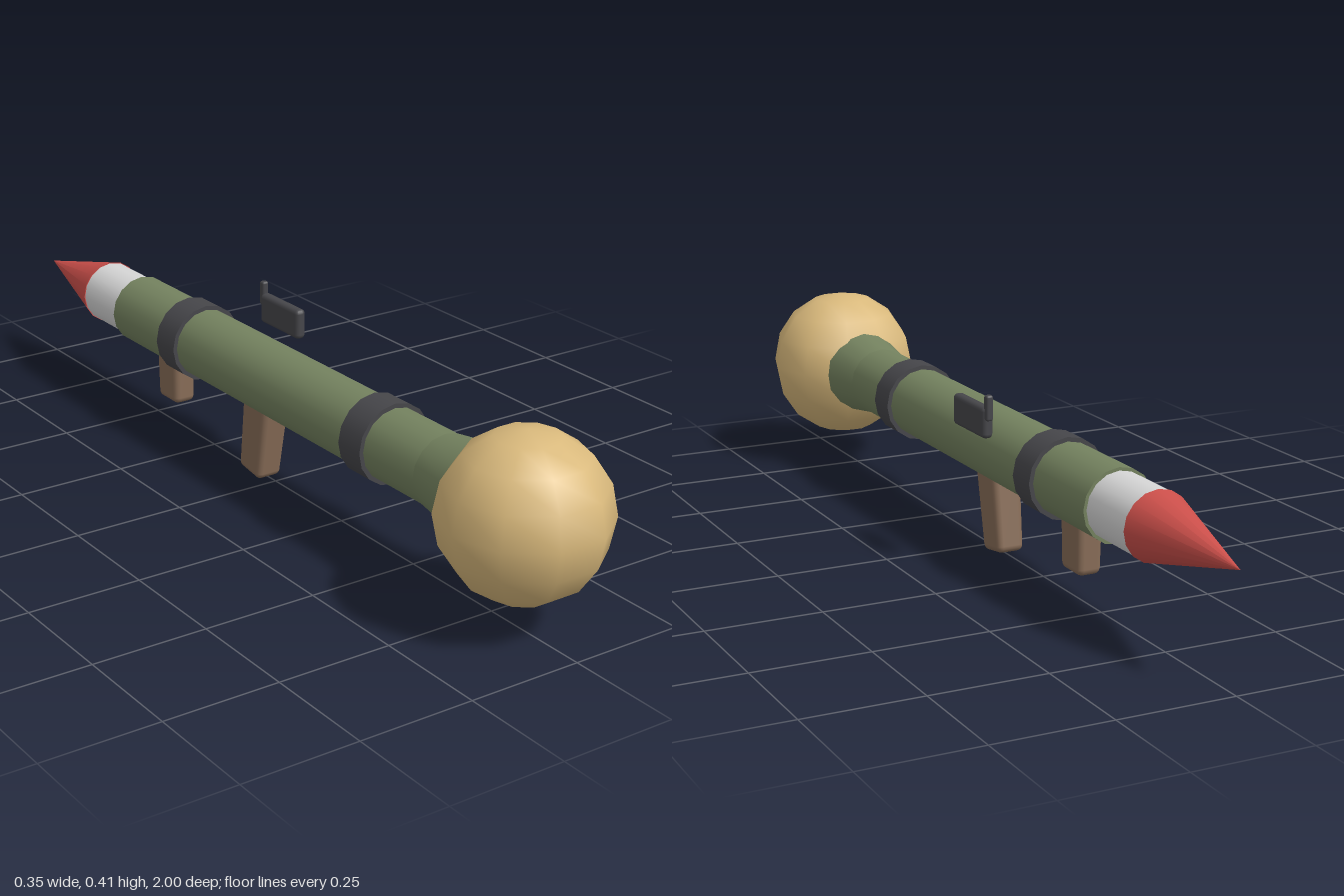
import * as THREE from 'three';
import { RoundedBoxGeometry } from 'three/addons/geometries/RoundedBoxGeometry.js';

const AXIS_Y = 0.239;
const mat = (name, color) => Object.assign(new THREE.MeshStandardMaterial({ color }), { name });

export function createModel() {
  const group = new THREE.Group();
  const tan = mat('tan', 0xd9b97c);
  const green = mat('olive green', 0x74825f);
  const dark = mat('dark grey', 0x46464a);
  const white = mat('off white', 0xd6d6d6);
  const red = mat('red', 0xcb4f4a);
  const brown = mat('brown', 0x876c57);

  const add = (name, geometry, material, x, y, z) => {
    const mesh = new THREE.Mesh(geometry, material);
    mesh.name = name;
    mesh.position.set(x, y, z);
    group.add(mesh);
    return mesh;
  };

  // A round section along z, from zBack to zFront
  const section = (name, material, rFront, rBack, zFront, zBack) => {
    const g = new THREE.CylinderGeometry(rFront, rBack, zFront - zBack, 16);
    g.rotateX(Math.PI / 2);
    return add(name, g, material, 0, AXIS_Y, (zFront + zBack) / 2);
  };

  // A softened block that narrows towards the bottom
  const taperedBlock = (w, h, d, bevel, taper) => {
    const g = new RoundedBoxGeometry(w, h, d, 2, bevel);
    const p = g.attributes.position;
    for (let i = 0; i < p.count; i++) {
      const s = 1 - taper * (0.5 - p.getY(i) / h);
      p.setX(i, p.getX(i) * s);
      p.setZ(i, p.getZ(i) * s);
    }
    return g;
  };

  // Ball at the front
  add('ball', new THREE.SphereGeometry(0.175, 10, 8), tan, 0, 0.238, 0.834);

  // Tube with flared muzzle and bands
  section('tube', green, 0.079, 0.079, 0.59, -0.563);
  section('flaredMuzzle', green, 0.097, 0.079, 0.71, 0.59);
  for (const z of [0.393, -0.316]) section('band', dark, 0.0885, 0.0885, z + 0.036, z - 0.036);

  // Tail: collar and pointed cone
  section('collar', white, 0.072, 0.072, -0.55, -0.711);
  section('cone', red, 0.074, 0, -0.711, -1);

  // Slanted main grip and short rear grip
  const grip = add('mainGrip', taperedBlock(0.07, 0.21, 0.092, 0.014, 0.13), brown, 0, 0.107, -0.048);
  grip.rotation.x = 0.15;
  add('rearGrip', taperedBlock(0.058, 0.14, 0.086, 0.014, 0.08), brown, 0, 0.131, -0.413);

  // Side sight with its small post
  add('sight', new RoundedBoxGeometry(0.025, 0.068, 0.148, 2, 0.01), dark, 0.102, 0.331, -0.122);
  add('sightPost', new RoundedBoxGeometry(0.016, 0.055, 0.016, 2, 0.005), dark, 0.102, 0.364, -0.196);

  return group;
}
